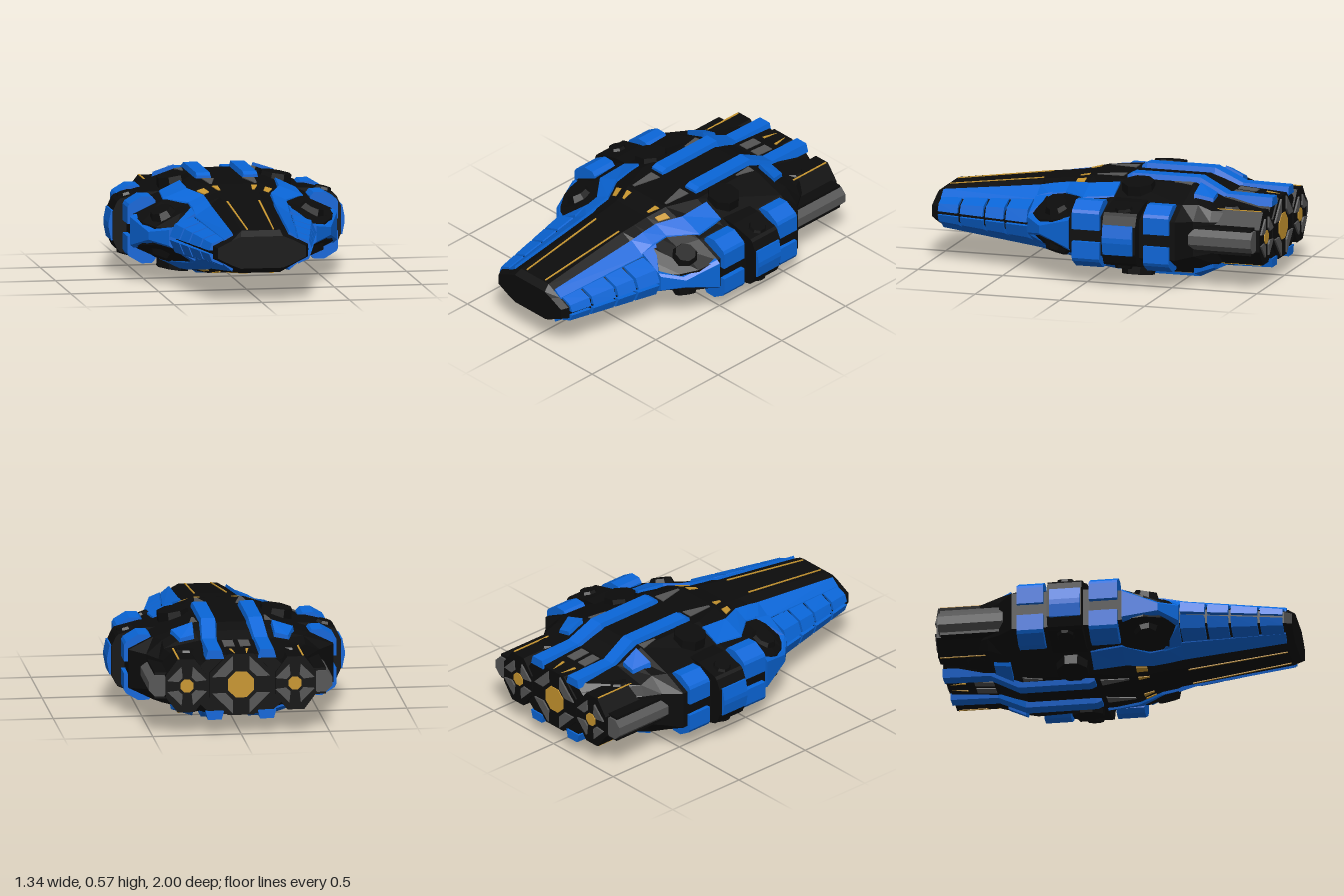
import * as THREE from 'three';

const BLACK = 0x0c0c0c, BLUE = 0x0a66d8, GREY = 0x555555, GOLD = 0xc8962f;
const MID = 0.284; // height of the plane the ship is mirrored about

// Hull stations: z, then deck edge, shoulder and waist as x, y pairs
const HULL = [
  [-0.98, 0.16, 0.17, 0.21, 0.13, 0.26, 0.08],
  [-0.70, 0.20, 0.19, 0.40, 0.15, 0.43, 0.09],
  [-0.62, 0.22, 0.225, 0.40, 0.18, 0.49, 0.10],
  [-0.54, 0.22, 0.255, 0.44, 0.18, 0.58, 0.11],
  [-0.10, 0.22, 0.255, 0.43, 0.17, 0.57, 0.11],
  [0.08, 0.15, 0.25, 0.42, 0.16, 0.57, 0.09],
  [0.20, 0.12, 0.222, 0.36, 0.135, 0.54, 0.065],
  [0.29, 0.115, 0.21, 0.34, 0.125, 0.48, 0.05],
  [0.38, 0.11, 0.20, 0.28, 0.11, 0.38, 0.045],
  [0.96, 0.11, 0.12, 0.20, 0.07, 0.27, 0.035],
  [1.00, 0.12, 0.09, 0.17, 0.07, 0.25, 0.03],
];

// Height of the hull surface above the mid plane
function hullY(x, z) {
  let i = 0;
  while (i < HULL.length - 2 && HULL[i + 1][0] < z) i++;
  const a = HULL[i], b = HULL[i + 1];
  const t = THREE.MathUtils.clamp((z - a[0]) / (b[0] - a[0]), 0, 1);
  const s = a.map((v, k) => v + (b[k] - v) * t);
  if (x <= s[1]) return s[2];
  const k = x <= s[3] ? 1 : 3;
  const u = Math.min(1, (x - s[k]) / (s[k + 2] - s[k]));
  return s[k + 1] + (s[k + 3] - s[k + 1]) * u;
}

// Solid through sections [z, [[x, y], ...]] with closed ends
function loft(sections) {
  const secs = [...sections].sort((a, b) => a[0] - b[0]).map(([z, loop]) => {
    let area = 0;
    loop.forEach((p, i) => {
      const q = loop[(i + 1) % loop.length];
      area += p[0] * q[1] - q[0] * p[1];
    });
    const pts = loop.map(([x, y]) => [x, y, z]);
    return area < 0 ? pts.reverse() : pts;
  });
  const pos = [], n = secs[0].length;
  const tri = (a, b, c) => pos.push(...a, ...b, ...c);
  for (let s = 0; s < secs.length - 1; s++) {
    for (let i = 0; i < n; i++) {
      const j = (i + 1) % n, a = secs[s], b = secs[s + 1];
      tri(a[i], a[j], b[j]);
      tri(a[i], b[j], b[i]);
    }
  }
  const first = secs[0], last = secs[secs.length - 1];
  for (let i = 1; i < n - 1; i++) {
    tri(first[0], first[i + 1], first[i]);
    tri(last[0], last[i], last[i + 1]);
  }
  const g = new THREE.BufferGeometry();
  g.setAttribute('position', new THREE.Float32BufferAttribute(pos, 3));
  return g;
}

// Bevelled strip on the hull; stations are z, inner x, outer x, optional heights
function strip(stations, lift, bevel = 0.012, depth = 0.035) {
  return loft(stations.map(([z, xi, xo, hi, ho]) => {
    const yi = hi ?? hullY(xi, z) + lift, yo = ho ?? hullY(xo, z) + lift;
    return [z, [[xi, yi - depth], [xi + bevel, yi], [xo - bevel, yo], [xo, yo - depth]]];
  }));
}

const block = (z0, z1, loop) => loft([[z0, loop], [z1, loop]]);

function mirrored(geo, sx, sy) {
  const g = geo.index ? geo.toNonIndexed() : geo.clone();
  g.scale(sx, sy, 1);
  if (sx * sy < 0) {
    const a = g.attributes.position, p = new THREE.Vector3(), q = new THREE.Vector3();
    for (let i = 0; i < a.count; i += 3) {
      p.fromBufferAttribute(a, i + 1);
      q.fromBufferAttribute(a, i + 2);
      a.setXYZ(i + 1, q.x, q.y, q.z);
      a.setXYZ(i + 2, p.x, p.y, p.z);
    }
  }
  g.computeVertexNormals();
  return g;
}

export function createModel() {
  const ship = new THREE.Group();
  ship.name = 'spaceship';
  const mats = {};
  const add = (name, color, geo, axes = 'xy') => {
    mats[color] ??= new THREE.MeshStandardMaterial({ color, flatShading: true });
    for (const sx of axes.includes('x') ? [1, -1] : [1]) {
      for (const sy of axes.includes('y') ? [1, -1] : [1]) {
        const m = new THREE.Mesh(mirrored(geo, sx, sy), mats[color]);
        m.name = name;
        m.position.y = MID;
        ship.add(m);
      }
    }
  };

  // Main hull
  add('hull', BLACK, loft(HULL.map(([z, ...v]) => {
    const q = [[v[0], v[1]], [v[2], v[3]], [v[4], v[5]]];
    const right = [...q, ...q.map(([x, y]) => [x, -y]).reverse()];
    return [z, [...right, ...right.map(([x, y]) => [-x, y]).reverse()]];
  })), '');

  // Long blue spines over the rear deck
  add('rearSpine', BLUE, strip([
    [-0.99, 0.095, 0.20, 0.20, 0.20], [-0.72, 0.095, 0.20, 0.205, 0.205],
    [-0.56, 0.08, 0.187, 0.284, 0.284], [-0.16, 0.08, 0.187, 0.284, 0.284],
    [-0.13, 0.08, 0.187, 0.27, 0.27]], 0, 0.014, 0.05));

  // Blue spines running to the nose
  add('frontSpine', BLUE, strip([
    [-0.12, 0.26, 0.40], [0.06, 0.25, 0.41], [0.20, 0.18, 0.29], [0.30, 0.175, 0.285],
    [0.38, 0.17, 0.285], [0.96, 0.15, 0.22]], 0.012));
  add('cheekFrame', BLUE, strip([
    [0.28, 0.26, 0.29, 0.165, 0.155], [0.38, 0.26, 0.41, 0.135, 0.06]], 0));

  // Segmented armour along the nose flanks
  const cuts = [0.96, 0.82, 0.66, 0.53, 0.38];
  const flank = (z) => {
    const t = (0.96 - z) / 0.58;
    const at = (x0, y0, x1, y1) => [x0 + (x1 - x0) * t, y0 + (y1 - y0) * t];
    return [z, [at(0.2, 0.05, 0.25, 0.09), at(0.215, 0.075, 0.285, 0.118),
      at(0.275, 0.05, 0.39, 0.082), at(0.29, 0.01, 0.42, 0.01), at(0.23, 0.01, 0.33, 0.01)]];
  };
  for (let i = 0; i < 4; i++) add('flankArmour', BLUE, loft([flank(cuts[i] - 0.008), flank(cuts[i + 1] + 0.008)]));

  // Waisted blue panels on the cheeks
  const cheek = ([z, x, h]) => {
    const top = [[x - 0.08, h + 0.02], [x - 0.02, h + 0.015], [x, h]];
    return [z, [...top, ...top.map(([px, py]) => [px, -py]).reverse()]];
  };
  add('cheekPanel', BLUE, loft([[0.38, 0.42, 0.045], [0.28, 0.52, 0.022], [0.085, 0.59, 0.08]].map(cheek)), 'x');
  const dome = new THREE.CylinderGeometry(0.06, 0.08, 0.04, 8);
  dome.rotateY(Math.PI / 8).rotateX(0.2).rotateZ(-0.4).translate(0.43, 0.12, 0.2);
  add('cheekDome', BLACK, dome);

  // Blue armour brackets on the sides
  const bracket = [[0.44, 0.10], [0.44, 0.165], [0.46, 0.188], [0.52, 0.19], [0.59, 0.148], [0.6, 0.13], [0.6, 0.035], [0.54, 0.035]];
  for (const [z0, z1] of [[-0.51, -0.36], [-0.10, 0.06]]) add('sideBracket', BLUE, block(z0, z1, bracket));

  // Side weapon block with its outer plate and domes
  add('sideBlock', BLACK, block(-0.33, -0.135, [[0.36, 0], [0.36, 0.19], [0.47, 0.185], [0.61, 0.15], [0.625, 0.135], [0.65, 0.08], [0.65, 0]]));
  add('sidePlate', BLUE, block(-0.315, -0.14, [[0.64, 0.085], [0.658, 0.085], [0.672, 0.015], [0.672, -0.015], [0.658, -0.085], [0.64, -0.085]]), 'x');
  const sideDome = new THREE.CylinderGeometry(0.045, 0.06, 0.035, 8);
  sideDome.rotateY(Math.PI / 8).rotateZ(-0.25).translate(0.562, 0.16, -0.235);
  add('sideDome', BLACK, sideDome);
  const turret = new THREE.CylinderGeometry(0.092, 0.102, 0.1, 8);
  turret.rotateY(Math.PI / 8).rotateZ(-0.165).translate(0.287, 0.217, -0.235);
  add('deckTurret', BLACK, turret);

  // Small blue deck fins
  add('deckFin', BLUE, strip([[-0.68, 0.22, 0.315, 0.22, 0.2], [-0.58, 0.215, 0.355, 0.27, 0.23]], 0, 0.01, 0.05));

  // Grey and gold deck inlays
  const inlay = (name, color, stations) => add(name, color, strip(stations, 0.005, 0, 0.015));
  inlay('deckVent', GREY, [[-0.10, 0.08, 0.15], [0.06, 0.12, 0.135]]);
  inlay('rearVent', GREY, [[-0.53, 0.19, 0.235], [-0.42, 0.2, 0.21]]);
  inlay('sternHatch', GREY, [[-0.83, 0.015, 0.075], [-0.72, 0.015, 0.075]]);
  inlay('sternStripe', GOLD, [[-0.97, 0.03, 0.035], [-0.88, 0.04, 0.055]]);
  inlay('noseStripe', GOLD, [[0.39, 0.086, 0.096], [0.95, 0.07, 0.078]]);
  inlay('deckMarker', GOLD, [[0.11, 0.095, 0.13], [0.17, 0.09, 0.105]]);
  inlay('outerDeckMarker', GOLD, [[0.11, 0.175, 0.215], [0.17, 0.155, 0.185]]);

  // Engine pods and grey side tanks
  const pod = (x, rx, ry, z0) => new THREE.CylinderGeometry(1, 1, 1, 8).rotateY(Math.PI / 8)
    .rotateX(Math.PI / 2).scale(rx, ry, z0 + 0.99).translate(x, 0, (z0 - 0.99) / 2);
  add('centreEnginePod', BLACK, pod(0, 0.19, 0.19, -0.8), '');
  add('enginePod', BLACK, pod(0.31, 0.125, 0.165, -0.585), 'x');
  add('podStripe', GOLD, new THREE.BoxGeometry(0.01, 0.01, 0.26).translate(0.352, 0.151, -0.85));
  const podDome = new THREE.CylinderGeometry(0.05, 0.07, 0.03, 8);
  add('podDome', BLACK, podDome.rotateY(Math.PI / 8).translate(0.29, 0.15, -0.78));
  add('tankMount', BLACK, new THREE.BoxGeometry(0.11, 0.15, 0.36).translate(0.43, 0, -0.78), 'x');
  const tank = new THREE.CylinderGeometry(0.066, 0.066, 0.37, 8);
  add('sideTank', GREY, tank.rotateY(Math.PI / 8).rotateX(Math.PI / 2).translate(0.458, 0, -0.785), 'x');

  // Engine nozzles: four grey petals around a gold core
  function engine(x, r0, r1, r2, axes) {
    const core = new THREE.CylinderGeometry(r0, r0, 0.02, 8);
    add('engineCore', GOLD, core.rotateY(Math.PI / 8).rotateX(Math.PI / 2).translate(x, 0, -0.985), axes);
    for (let k = 0; k < 4; k++) {
      const petal = new THREE.Shape([[r1, -0.3], [r2, -0.5], [r2, 0.5], [r1, 0.3]].map(([r, a]) => {
        const t = a + (k + 0.5) * Math.PI / 2;
        return new THREE.Vector2(r * Math.cos(t), r * Math.sin(t));
      }));
      const g = new THREE.ExtrudeGeometry(petal, { depth: 0.03, bevelEnabled: false });
      add('nozzlePetal', GREY, g.translate(x, 0, -1), axes);
    }
  }
  engine(0, 0.08, 0.1, 0.17, '');
  engine(0.305, 0.04, 0.055, 0.115, 'x');

  return ship;
}
